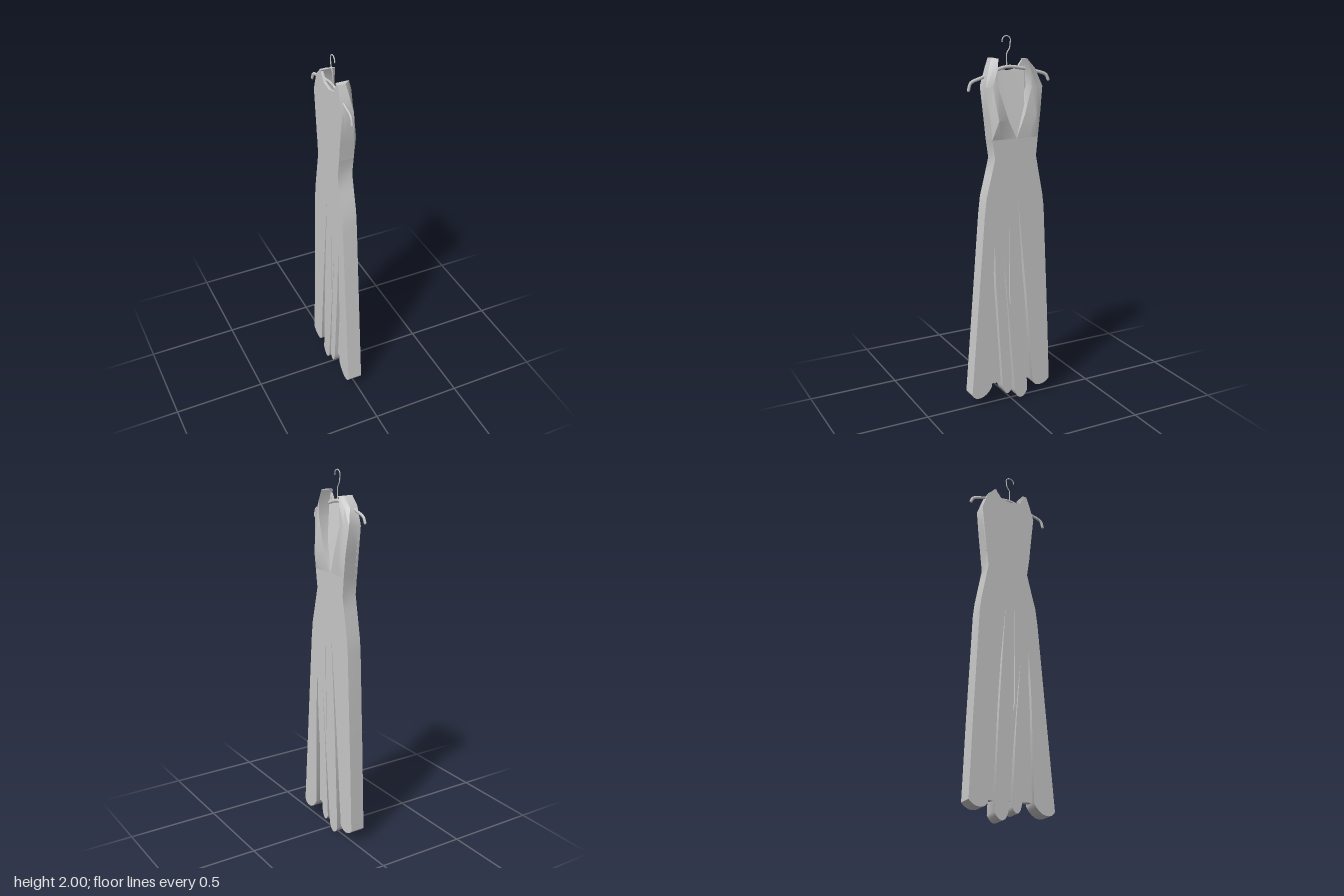
import * as THREE from 'three';
import { toCreasedNormals } from 'three/addons/utils/BufferGeometryUtils.js';

const grey = () => new THREE.MeshStandardMaterial({ color: 0xcccccc, side: THREE.DoubleSide });

function add(group, name, geometry, material = grey()) {
  const mesh = new THREE.Mesh(geometry, material);
  mesh.name = name;
  group.add(mesh);
}

// Flat cloth piece: outline in [z, y], thickened from x0 to x1
function cloth(outline, x0, x1, holes = []) {
  const toPoints = (list) => list.map(([z, y]) => new THREE.Vector2(-z, y));
  const shape = new THREE.Shape(toPoints(outline));
  holes.forEach((h) => shape.holes.push(new THREE.Path(toPoints(h))));
  const geo = new THREE.ExtrudeGeometry(shape, { depth: x1 - x0, bevelEnabled: false });
  geo.rotateY(Math.PI / 2);
  geo.translate(x0, 0, 0);
  return toCreasedNormals(geo, 0.6);
}

// Rounded lower end of one pleat, running from z0 to z1
function lobe(z0, y0, z1, y1, low) {
  return new THREE.CubicBezierCurve(
    new THREE.Vector2(z0, y0), new THREE.Vector2(z0 + (z1 - z0) * 0.12, low),
    new THREE.Vector2(z0 + (z1 - z0) * 0.7, low), new THREE.Vector2(z1, y1)
  ).getPoints(8).map((p) => [p.x, p.y]);
}

// Bodice half: rows of [y, outerZ, outerX, midZ, midX, innerZ, innerX]
function bodiceHalf(rows, flip) {
  const back = -0.055, pos = [];
  const rings = rows.map(([y, oz, ox, mz, mx, iz, ix]) =>
    [[back, y, oz], [ox, y, oz], [mx, y, mz], [ix, y, iz], [back, y, iz]]);
  const tri = (a, b, c) => pos.push(...a, ...(flip ? c : b), ...(flip ? b : c));
  for (let r = 0; r < rings.length - 1; r++) {
    for (let i = 0; i < 5; i++) {
      const j = (i + 1) % 5, lo = rings[r], hi = rings[r + 1];
      tri(lo[i], lo[j], hi[j]);
      tri(lo[i], hi[j], hi[i]);
    }
  }
  const top = rings[rings.length - 1];
  for (let i = 1; i < 4; i++) tri(top[0], top[i], top[i + 1]);
  const geo = new THREE.BufferGeometry();
  geo.setAttribute('position', new THREE.Float32BufferAttribute(pos, 3));
  return toCreasedNormals(geo, 0.5);
}

const tube = (points, radius, sides) => new THREE.TubeGeometry(
  new THREE.CatmullRomCurve3(points.map(([z, y]) => new THREE.Vector3(0, y, z))), 40, radius, sides);

export function createModel() {
  const dress = new THREE.Group();
  dress.name = 'dressOnHanger';

  // Skirt and waist, with slits between the hanging pleats
  const skirt = [
    [0.115, 1.48], [0.1, 1.38], [0.122, 1.29], [0.15, 1.18], [0.162, 1.08], [0.2, 0.62],
    ...lobe(0.245, 0.08, 0.125, 0.11, 0.04),
    [0.118, 0.65], [0.104, 0.93], [0.098, 0.7],
    ...lobe(0.06, 0.12, 0.002, 0.075, 0.03),
    [0.03, 0.55], [0.055, 0.85], [0.038, 0.7],
    ...lobe(-0.018, 0.06, -0.095, 0.04, -0.012),
    [-0.07, 0.6], [-0.034, 1.16], [-0.088, 0.6],
    ...lobe(-0.13, 0.085, -0.235, 0.085, 0.045),
    [-0.218, 0.5], [-0.189, 1.1], [-0.18, 1.17], [-0.155, 1.3], [-0.14, 1.38], [-0.15, 1.48],
  ];
  const crease = [[0.021, 1.16], [0.012, 0.57], [0.02, 0.62]];
  add(dress, 'skirt', cloth(skirt, -0.055, 0.025, [crease]));

  // Recessed cloth seen inside the slits
  const lining = [[0.15, 0.7], [0.13, 0.115], [-0.16, 0.095], [-0.15, 0.7], [-0.06, 1.2], [0.06, 1.2]];
  add(dress, 'pleatLining', cloth(lining, -0.035, 0.0));

  // Back of the bodice with a shallow neckline
  const back = [[0.11, 1.47], [0.122, 1.55], [0.145, 1.75], [0.1, 1.89], [0.075, 1.87], [0.055, 1.835],
    [0, 1.82], [-0.06, 1.83], [-0.09, 1.87], [-0.1, 1.88], [-0.145, 1.84], [-0.18, 1.74], [-0.15, 1.47]];
  add(dress, 'bodiceBack', cloth(back, -0.055, -0.042));

  // Sloping cloth inside the open neckline
  const inset = new THREE.BufferGeometry();
  inset.setAttribute('position', new THREE.Float32BufferAttribute([
    0.024, 1.48, -0.025, -0.005, 1.65, -0.085, -0.038, 1.83, -0.1,
    -0.04, 1.825, 0, -0.038, 1.84, 0.08, -0.005, 1.65, 0.045], 3));
  inset.setIndex([0, 1, 5, 1, 2, 3, 1, 3, 5, 3, 4, 5]);
  inset.computeVertexNormals();
  add(dress, 'neckInset', inset);

  // Bodice halves rising into the shoulder straps
  add(dress, 'leftBodice', bodiceHalf([
    [1.48, 0.115, 0.025, 0.07, 0.025, -0.025, 0.025],
    [1.58, 0.125, 0.024, 0.088, 0.05, 0.025, 0.03],
    [1.75, 0.145, 0.01, 0.11, 0.022, 0.08, 0.025],
    [1.84, 0.118, -0.005, 0.1, 0.012, 0.082, 0.025],
    [1.89, 0.1, -0.015, 0.088, 0.0, 0.074, 0.015]], false));
  add(dress, 'rightBodice', bodiceHalf([
    [1.48, -0.15, 0.025, -0.1, 0.025, -0.025, 0.025],
    [1.6, -0.163, 0.024, -0.135, 0.038, -0.07, 0.03],
    [1.74, -0.18, 0.015, -0.145, 0.025, -0.112, 0.025],
    [1.83, -0.15, -0.01, -0.13, 0.01, -0.106, 0.025],
    [1.88, -0.105, -0.02, -0.1, 0.0, -0.09, 0.02]], true));

  // Hanger with curved arms, capped ends and a wire hook
  const hanger = new THREE.Group();
  hanger.name = 'hanger';
  hanger.position.x = -0.036;
  const arms = [[0.217, 1.735], [0.205, 1.77], [0.14, 1.795], [0.07, 1.825], [0, 1.842],
    [-0.08, 1.833], [-0.17, 1.812], [-0.23, 1.79], [-0.243, 1.765]];
  add(hanger, 'hangerArms', tube(arms, 0.009, 8).scale(0.65, 1, 1));
  for (const [z, y] of [arms[0], arms[arms.length - 1]]) {
    const cap = new THREE.SphereGeometry(0.009, 10, 6).scale(0.65, 1, 1);
    cap.translate(0, y, z);
    add(hanger, 'hangerArmEnd', cap);
  }
  const hook = [[0, 1.84], [0, 1.91], [-0.015, 1.935]];
  for (let i = 0; i <= 8; i++) {
    const a = -0.35 + i * 0.47;
    hook.push([0.003 - 0.024 * Math.cos(a), 1.973 + 0.024 * Math.sin(a)]);
  }
  add(hanger, 'hangerHook', tube(hook, 0.003, 6));
  dress.add(hanger);

  return dress;
}
